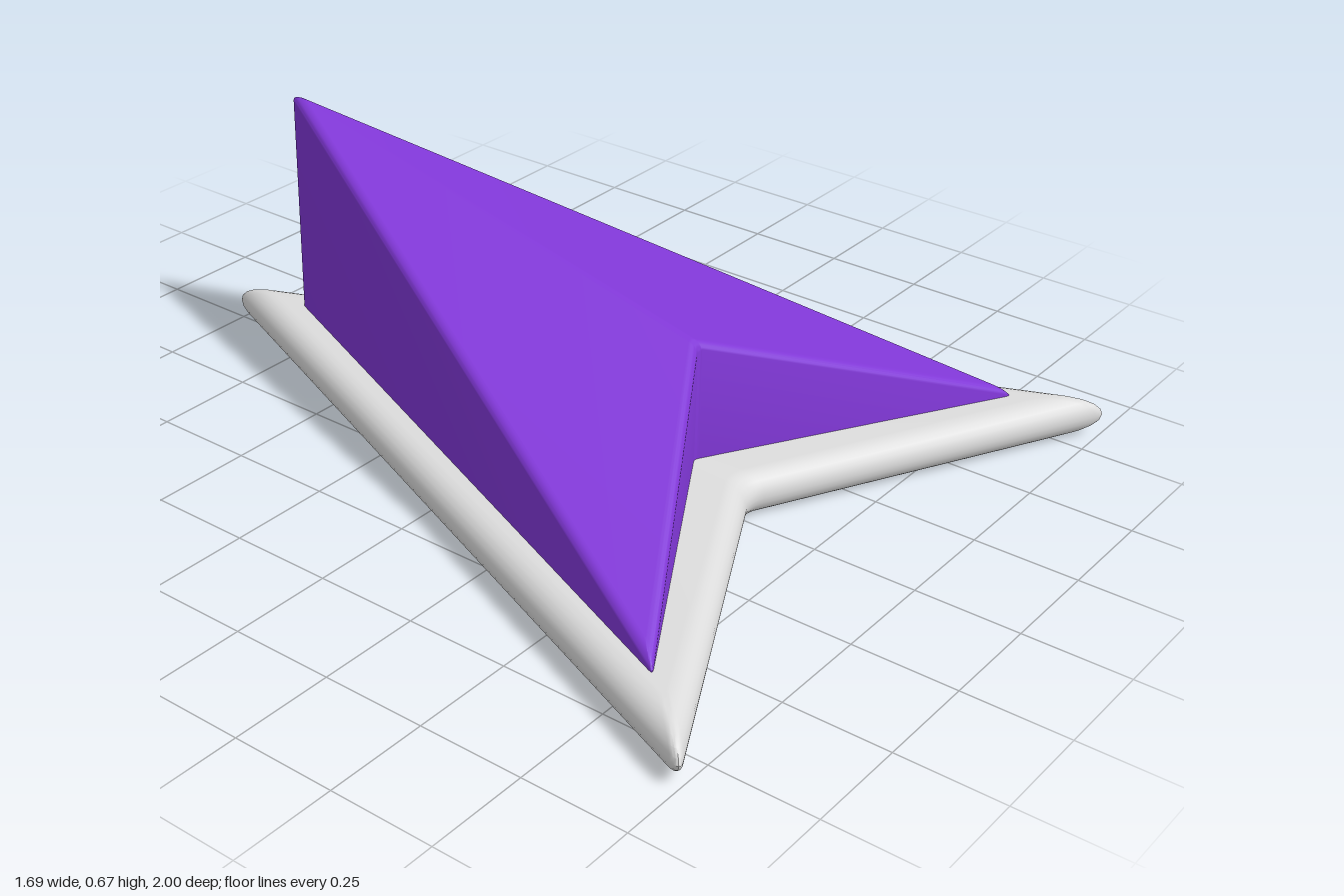
import * as THREE from 'three';
import { toCreasedNormals } from 'three/addons/utils/BufferGeometryUtils.js';

// Arrowhead corners in the ground plane (x, z): nose, left wing, notch, right wing
const arrow = (nose, wingX, wingZ, notch) => [
  new THREE.Vector2(0, nose), new THREE.Vector2(wingX, wingZ),
  new THREE.Vector2(0, notch), new THREE.Vector2(-wingX, wingZ),
];

// Mitred inset of a closed outline by distance d
function inset(pts, d) {
  const n = pts.length;
  const normal = (a, b) => {
    const e = b.clone().sub(a).normalize();
    return new THREE.Vector2(-e.y, e.x);
  };
  return pts.map((p, i) => {
    const n1 = normal(pts[(i + n - 1) % n], p);
    const n2 = normal(p, pts[(i + 1) % n]);
    return p.clone().addScaledVector(n1.clone().add(n2), d / (1 + n1.dot(n2)));
  });
}

// Rounds every corner with a short quadratic curve
function roundCorners(pts, r, steps = 6) {
  const n = pts.length;
  const toward = (p, q) => p.clone().add(q.clone().sub(p).setLength(r));
  return pts.flatMap((p, i) => new THREE.QuadraticBezierCurve(
    toward(p, pts[(i + n - 1) % n]), p, toward(p, pts[(i + 1) % n])).getPoints(steps));
}

// Skins a stack of equal-length rings (bottom to top) and closes both ends
function loft(rings) {
  const n = rings[0].length;
  const index = [];
  for (let r = 0; r < rings.length - 1; r++) {
    for (let i = 0; i < n; i++) {
      const a = r * n + i, b = r * n + (i + 1) % n;
      index.push(a, a + n, b, b, a + n, b + n);
    }
  }
  const cap = (r, up) => {
    const flat = rings[r].map((p) => new THREE.Vector2(p.x, p.z));
    for (const [a, b, c] of THREE.ShapeUtils.triangulateShape(flat, [])) {
      const facesDown = flat[b].clone().sub(flat[a]).cross(flat[c].clone().sub(flat[a])) > 0;
      const o = r * n;
      if (facesDown !== up) index.push(o + a, o + b, o + c);
      else index.push(o + a, o + c, o + b);
    }
  };
  cap(0, false);
  cap(rings.length - 1, true);
  const geo = new THREE.BufferGeometry().setFromPoints(rings.flat());
  geo.setIndex(index);
  return toCreasedNormals(geo, 0.55);
}

export function createModel() {
  const group = new THREE.Group();
  const silver = new THREE.MeshStandardMaterial({ color: 0xdcdcdc });
  silver.name = 'silver';
  const purple = new THREE.MeshStandardMaterial({ color: 0x8037d6 });
  purple.name = 'purple';
  const add = (name, geo, mat) => {
    const mesh = new THREE.Mesh(geo, mat);
    mesh.name = name;
    group.add(mesh);
  };

  // Base plate with a half-round rim
  const rim = 0.0525;
  const baseCorners = arrow(-1.018, 0.856, 1.012, 0.575);
  const baseRings = [];
  for (let k = 0; k <= 12; k++) {
    const a = -Math.PI / 2 + (Math.PI * k) / 12;
    const ring = roundCorners(inset(baseCorners, rim * (1 - Math.cos(a))), 0.04);
    baseRings.push(ring.map((p) => new THREE.Vector3(p.x, rim + rim * Math.sin(a), p.y)));
  }
  add('basePlate', loft(baseRings), silver);

  // Raised body: upright walls, softened edges and a roof sloping from a ridge
  const soft = 0.02;
  const roof = (p) => 0.497 - 0.2345 * p.y - 0.26 * Math.abs(p.x);
  const bodyCorners = arrow(-0.78, 0.703, 0.833, 0.426);
  const bodyRings = [
    roundCorners(bodyCorners, 0.012).map((p) => new THREE.Vector3(p.x, 0.08, p.y)),
  ];
  for (let k = 0; k <= 6; k++) {
    const a = (Math.PI / 2) * (k / 6);
    const ring = roundCorners(inset(bodyCorners, soft * (1 - Math.cos(a))), 0.012);
    bodyRings.push(ring.map((p) =>
      new THREE.Vector3(p.x, roof(p) - soft * (1 - Math.sin(a)), p.y)));
  }
  add('raisedBody', loft(bodyRings), purple);

  return group;
}
